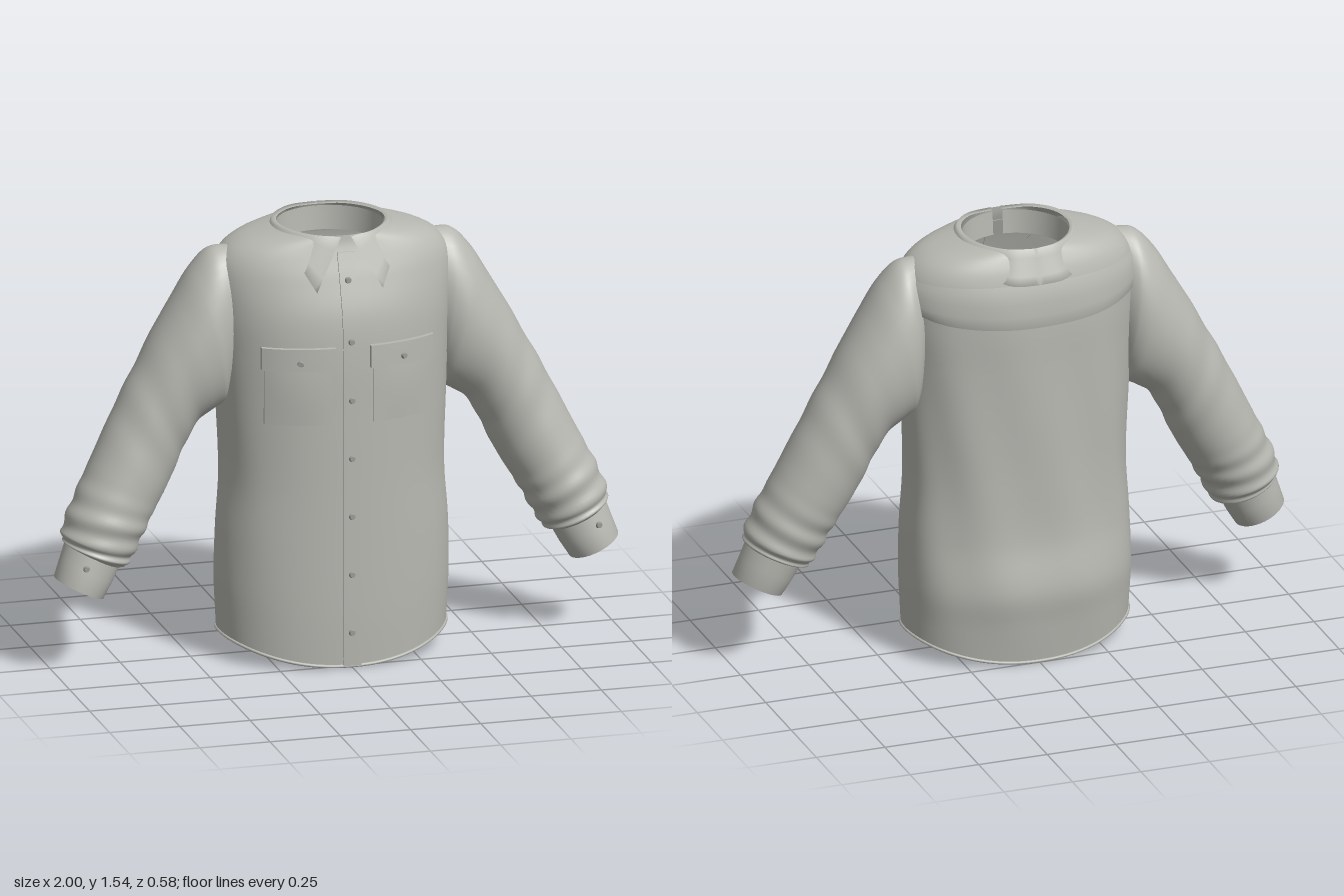
import * as THREE from 'three';

const cloth = new THREE.MeshStandardMaterial({ color: 0xb8b8b2, side: THREE.DoubleSide });
cloth.name = 'cloth grey';
const buttonMat = new THREE.MeshStandardMaterial({ color: 0x9c9c97 });
buttonMat.name = 'button grey';
const V = (x, y, z) => new THREE.Vector3(x, y, z);

// Torso profile: height, half width, front depth, back depth
const TORSO = [
  [0, .395, .272, .25], [.15, .403, .276, .272], [.27, .408, .277, .288], [.45, .405, .277, .262],
  [.65, .392, .277, .256], [.9, .4, .277, .256], [1.1, .41, .275, .256], [1.25, .42, .262, .256],
  [1.38, .42, .225, .247], [1.45, .39, .2, .23], [1.495, .32, .185, .212], [1.525, .195, .18, .2],
];

// Smooth interpolation of the profile at any height
function profile(y) {
  const T = TORSO, n = T.length;
  let i = 0;
  while (i < n - 2 && y > T[i + 1][0]) i++;
  const h = T[i + 1][0] - T[i][0], t = THREE.MathUtils.clamp((y - T[i][0]) / h, 0, 1);
  const slope = (j, k) => {
    const a = T[Math.max(j - 1, 0)], b = T[Math.min(j + 1, n - 1)];
    return (b[k] - a[k]) / (b[0] - a[0]);
  };
  return [1, 2, 3].map(k => {
    const t2 = t * t, t3 = t2 * t;
    return (2 * t3 - 3 * t2 + 1) * T[i][k] + (t3 - 2 * t2 + t) * h * slope(i, k)
      + (3 * t2 - 2 * t3) * T[i + 1][k] + (t3 - t2) * h * slope(i + 1, k);
  });
}

const P = 0.92;
const pw = v => Math.sign(v) * Math.abs(v) ** P;

// Point on the torso; angle 0 is the front, PI the back
function torsoPoint(a, y, off = 0) {
  const [hx, f, b] = profile(y);
  const s = pw(Math.sin(a)), c = pw(Math.cos(a));
  const back = (1 - Math.cos(a)) / 2;
  const fold = .004 * back * Math.sin(a * 9 + y * 5) * Math.sin(Math.min(y / 1.4, 1) * Math.PI);
  return V((hx + off + fold) * s, y, ((c > 0 ? f : b) + off + fold) * c);
}

// Depth of the shirt front at (x, y)
function frontZ(x, y) {
  const [hx, f] = profile(y);
  const s = Math.min(Math.abs(x) / hx, .999) ** (1 / P);
  return f * Math.sqrt(1 - s * s) ** P;
}

// Surface through rows of points, optionally wrapping round
function loft(rows, closed) {
  const m = rows[0].length, idx = [];
  for (let r = 0; r < rows.length - 1; r++)
    for (let c = 0; c < (closed ? m : m - 1); c++) {
      const d = (c + 1) % m, a = r * m, b = a + m;
      idx.push(a + c, a + d, b + c, a + d, b + d, b + c);
    }
  const g = new THREE.BufferGeometry().setFromPoints(rows.flat());
  g.setIndex(idx);
  g.computeVertexNormals();
  return g;
}

// Flat panel wrapped onto the shirt front
function panel(x0, x1, y0, y1, thick, lift = () => 0) {
  const g = new THREE.BoxGeometry(x1 - x0, y1 - y0, thick, 12, Math.ceil((y1 - y0) * 40), 1);
  g.translate((x0 + x1) / 2, (y0 + y1) / 2, thick / 2);
  const p = g.attributes.position;
  for (let i = 0; i < p.count; i++) {
    const x = p.getX(i), y = p.getY(i);
    p.setZ(i, p.getZ(i) + frontZ(x, y) + (p.getZ(i) > 0 ? lift(x, y) : -.004));
  }
  g.computeVertexNormals();
  return g;
}

// Sleeve cross-sections: outer x, y, inner x, y, centre z, half depth
const SLEEVE = [
  [.36, 1.47, .36, 1.02, 0, .11], [.43, 1.46, .37, .95, -.01, .145], [.495, 1.395, .385, .91, -.01, .16],
  [.56, 1.29, .42, .89, -.01, .162], [.63, 1.17, .475, .855, -.01, .155], [.7, 1.04, .52, .785, -.005, .145],
  [.765, .92, .555, .71, 0, .14], [.825, .8, .595, .63, .01, .14], [.88, .69, .64, .555, .02, .14],
  [.93, .59, .68, .485, .033, .14], [.965, .5, .72, .41, .04, .133], [.962, .465, .745, .375, .046, .122],
  [.945, .455, .77, .368, .05, .095],
];
const CUFF = [
  [.95, .485, .765, .38, .048, .095], [.975, .415, .797, .32, .056, .096], [1, .345, .832, .265, .065, .096],
  [.992, .345, .84, .269, .065, .087], [.968, .415, .806, .325, .056, .087], [.94, .485, .775, .385, .048, .086],
];

function tubeRow(s, [ox, oy, ix, iy, zc, hz], ripple = () => 0) {
  return Array.from({ length: 40 }, (_, k) => {
    const a = k / 40 * Math.PI * 2, w = 1 + ripple(a), c = Math.cos(a) * w / 2;
    return V(s * ((ox + ix) / 2 + (ox - ix) * c), (oy + iy) / 2 + (oy - iy) * c, zc + hz * Math.sin(a) * w);
  });
}

function sleeve(s) {
  const pick = k => new THREE.CatmullRomCurve3(SLEEVE.map(r => V(r[k], r[k + 1], r[k + 2] ?? 0)));
  const A = pick(0), B = pick(3), rows = [];
  for (let i = 0; i <= 96; i++) {
    const t = i / 96, a = A.getPoint(t), b = B.getPoint(t);
    // Bunched cloth above the cuff, faint creases at the elbow
    const low = THREE.MathUtils.smoothstep(t, .62, .8) * (1 - THREE.MathUtils.smoothstep(t, .9, .97));
    const mid = Math.exp(-(((t - .45) / .1) ** 2));
    rows.push(tubeRow(s, [a.x, a.y, a.z, b.x, b.y, b.z], q =>
      low * .035 * Math.sin(t * 85 + 1.6 * Math.sin(q + s)) + mid * .014 * Math.sin(t * 55 + 2 * Math.cos(q))));
  }
  return loft(rows, true);
}

// Half collar: folded top edge and lower edge, from back centre to front point
const COLLAR_TOP = [[0, 1.528, -.21], [.09, 1.53, -.19], [.165, 1.532, -.12], [.2, 1.535, -.02],
  [.18, 1.535, .08], [.115, 1.53, .155], [.018, 1.522, .19]];
const COLLAR_LOW = [[0, 1.41, -.256], [.1, 1.415, -.243], [.185, 1.45, -.175], [.225, 1.49, -.06],
  [.222, 1.5, .06], [.18, 1.455, .165], [.117, 1.345, .243]];

function collar(s) {
  const [top, low] = [COLLAR_TOP, COLLAR_LOW].map(l =>
    new THREE.CatmullRomCurve3(l.map(p => V(s * p[0], p[1], p[2]))).getPoints(48));
  const inner = top.map(p => V(p.x * .93, p.y - .006, p.z * .93));
  const under = low.map((p, i) => p.clone().lerp(inner[i], .06).add(V(0, 0, p.z > 0 ? -.012 : .012)));
  return loft([inner, top, ...[.25, .5, .75].map(t => top.map((p, i) => p.clone().lerp(low[i], t))), low, under], false);
}

export function createModel() {
  const shirt = new THREE.Group();
  shirt.name = 'shirt';
  const add = (name, geo, mat = cloth) => {
    const m = new THREE.Mesh(geo, mat);
    m.name = name;
    shirt.add(m);
    return m;
  };
  const button = (name, x, y, z, tilt = 0) => {
    const m = add(name, new THREE.CylinderGeometry(.009, .012, .01, 14).rotateX(Math.PI / 2), buttonMat);
    m.position.set(x, y, z);
    m.rotation.y = tilt;
  };

  // Body with curved hem, open at neck and bottom
  const N = 96, hemY = a => .006 + .08 * Math.sin(a) ** 2;
  const angles = Array.from({ length: N }, (_, k) => k / N * Math.PI * 2);
  const rows = [];
  for (let i = 0; i <= 80; i++) {
    const t = 1 - (1 - i / 80) ** 1.3;
    rows.push(angles.map(a => torsoPoint(a, hemY(a) + (1.525 - hemY(a)) * t)));
  }
  add('body', loft(rows, true));
  const hem = new THREE.CatmullRomCurve3(angles.map(a => torsoPoint(a, hemY(a))), true);
  add('hem', new THREE.TubeGeometry(hem, 120, .006, 6, true));

  // Back yoke, lightly raised above its seam
  const yoke = [[0, -.003], [0, .007], [.25, .007], [.5, .006], [.75, .004], [1, -.002]].map(([t, off]) =>
    Array.from({ length: 41 }, (_, k) => {
      const u = k / 20 - 1, y0 = 1.255 + .06 * u * u;
      return torsoPoint(Math.PI + u * 1.3, y0 + (1.43 - y0) * t, off);
    }));
  add('backYoke', loft(yoke, false));

  // Collar stand inside the neck
  add('collarStand', loft([[.178, 1.43], [.182, 1.48], [.184, 1.515]].map(([r, y]) =>
    Array.from({ length: 61 }, (_, k) => {
      const a = .1 + k / 60 * (Math.PI * 2 - .2);
      return V(r * Math.sin(a), y, -.015 + r * Math.cos(a));
    })), false));

  // Button front
  add('placket', panel(-.033, .03, .008, 1.47, .006));
  for (let i = 0; i < 7; i++) {
    const y = .128 + i * .2085;
    button('frontButton', -.004, y, frontZ(0, y) + .01);
  }

  for (const s of [1, -1]) {
    const side = s > 0 ? 'left' : 'right';
    add(side + 'Collar', collar(s));
    add(side + 'Sleeve', sleeve(s));
    add(side + 'Cuff', loft(CUFF.map(r => tubeRow(s, r)), true));
    button(side + 'CuffButton', s * .912, .395, .155, s * .1);

    // Chest pocket with a buttoned flap
    const span = (a, b) => s > 0 ? [a, b] : [-b, -a];
    add(side + 'Pocket', panel(...span(.072, .295), .88, 1.12, .008,
      (x, y) => .004 * Math.sin((Math.abs(x) - .072) / .223 * Math.PI) * Math.sin((y - .88) * 13)));
    add(side + 'PocketFlap', panel(...span(.062, .305), 1.075, 1.155, .019));
    button(side + 'PocketButton', s * .185, 1.105, frontZ(.185, 1.105) + .022, s * .4);
  }
  return shirt;
}
